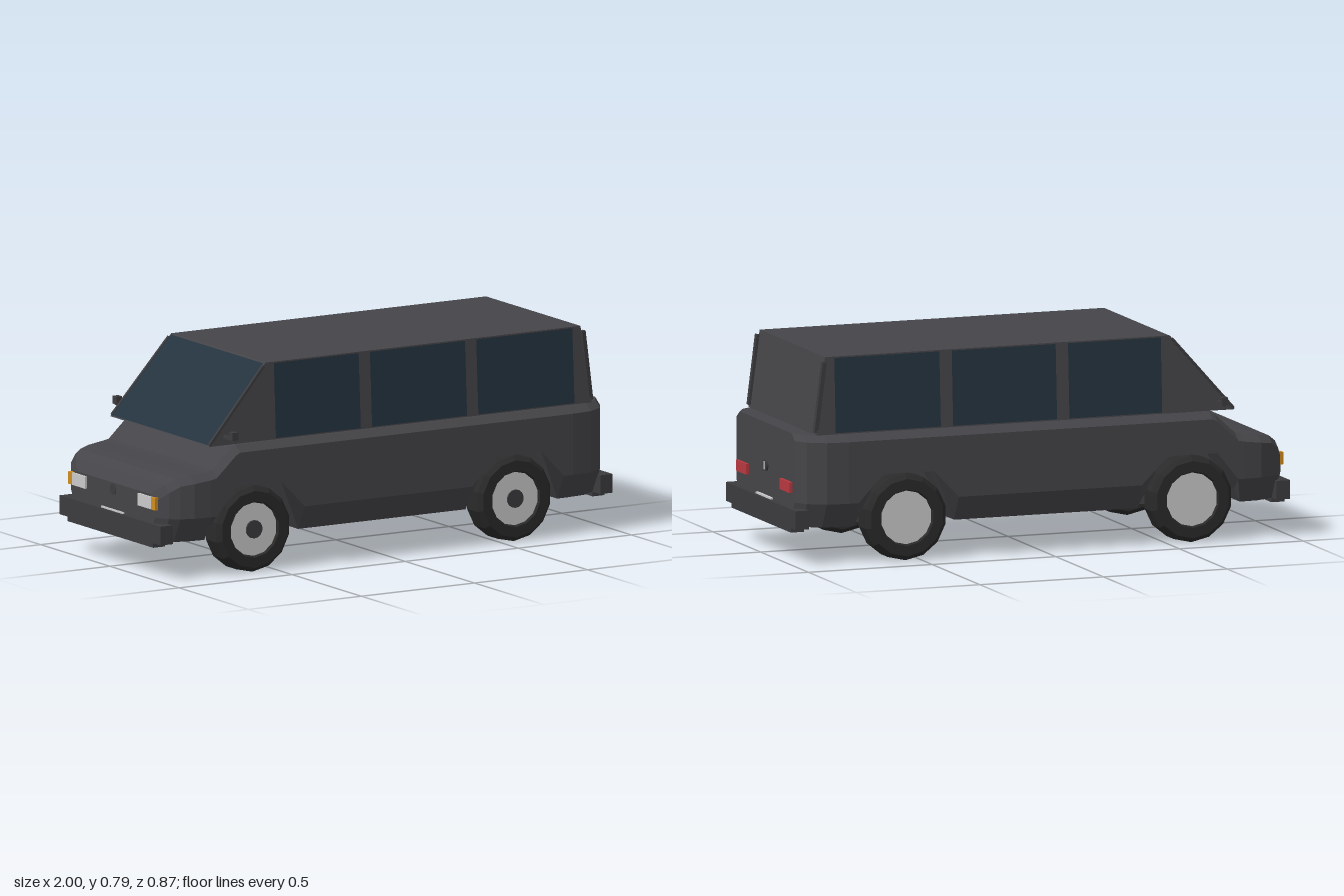
import * as THREE from 'three';
import { ConvexGeometry } from 'three/addons/geometries/ConvexGeometry.js';

const mat = (color) => new THREE.MeshStandardMaterial({ color, flatShading: true, side: THREE.DoubleSide });
const PAINT = mat(0x454448), GLASS = mat(0x25333f), TRIM = mat(0x3c3c3f), TYRE = mat(0x2a2a2b);
const RIM = mat(0xcccccc), RED = mat(0xb8383f), AMBER = mat(0xd08c20), LAMP = mat(0xdddddd);

const SILL = 0.14, BELT = 0.495, ROOF = 0.79;
const AXLES = [-0.597, 0.558];
const V = (x, y, z) => new THREE.Vector3(x, y, z);

function add(group, name, geometry, material, x = 0, y = 0, z = 0) {
  const mesh = new THREE.Mesh(geometry, material);
  mesh.name = name;
  mesh.position.set(x, y, z);
  group.add(mesh);
  return mesh;
}

// Box given by its limits on each axis
function box(group, name, material, [x0, x1], [y0, y1], [z0, z1]) {
  return add(group, name, new THREE.BoxGeometry(x1 - x0, y1 - y0, z1 - z0), material,
    (x0 + x1) / 2, (y0 + y1) / 2, (z0 + z1) / 2);
}

// Slim bar between two points
function bar(group, name, material, a, b, sx, sz) {
  const mesh = add(group, name, new THREE.BoxGeometry(sx, a.distanceTo(b), sz), material);
  mesh.position.copy(a).add(b).multiplyScalar(0.5);
  mesh.quaternion.setFromUnitVectors(V(0, 1, 0), b.clone().sub(a).normalize());
}

function quad(a, b, c, d) {
  const g = new THREE.BufferGeometry().setFromPoints([a, b, c, a, c, d]);
  g.computeVertexNormals();
  return g;
}

// Lower shell lofted along x; the outer sill rises over the wheels
function shellGeometry() {
  // x, half width, top height, wheel arch height
  const stations = [
    [-0.985, 0.30, 0.32, SILL], [-0.955, 0.355, 0.36, SILL], [-0.92, 0.38, 0.385, SILL],
    [-0.87, 0.40, 0.393, SILL], [-0.80, 0.405, 0.402, SILL], [-0.775, 0.405, 0.407, 0.19],
    [-0.69, 0.405, 0.485, 0.335], [-0.67, 0.405, BELT, 0.335],
    [-0.49, 0.405, BELT, 0.335], [-0.385, 0.405, BELT, SILL],
    [0.355, 0.405, BELT, SILL], [0.455, 0.405, BELT, 0.335], [0.66, 0.405, BELT, 0.335],
    [0.76, 0.405, BELT, SILL], [0.80, 0.405, BELT, SILL], [0.885, 0.395, BELT, SILL],
    [0.95, 0.355, BELT, SILL], [0.98, 0.305, BELT, SILL],
  ];
  const pos = [], idx = [];
  for (const [x, w, top, arch] of stations) {
    const inner = Math.min(0.27, w - 0.04);
    const half = [
      [inner, SILL], [inner, arch], [w - 0.05, arch],
      [w, Math.max(arch + 0.005, 0.235)], [w, top - 0.025], [w - 0.035, top],
    ];
    const loop = [...half, ...half.slice().reverse().map(([z, y]) => [-z, y])];
    for (const [z, y] of loop) pos.push(x, y, z);
  }
  const n = 12, last = (stations.length - 1) * n;
  for (let s = 0; s < last; s += n) {
    for (let i = 0; i < n; i++) {
      const a = s + i, b = s + (i + 1) % n;
      idx.push(a, a + n, b, b, a + n, b + n);
    }
  }
  for (let i = 1; i < n - 1; i++) idx.push(0, i, i + 1, last, last + i + 1, last + i);
  const g = new THREE.BufferGeometry();
  g.setAttribute('position', new THREE.Float32BufferAttribute(pos, 3));
  g.setIndex(idx);
  const flat = g.toNonIndexed();
  flat.computeVertexNormals();
  return flat;
}

function makeWheel(x, side) {
  const wheel = new THREE.Group();
  wheel.name = 'wheel';
  const profile = [[0.1, -0.05], [0.148, -0.055], [0.165, -0.037], [0.165, 0.037], [0.148, 0.055], [0.108, 0.055], [0.1, 0.04]]
    .map(([r, y]) => new THREE.Vector2(r, y));
  add(wheel, 'tyre', new THREE.LatheGeometry(profile, 14), TYRE).rotation.x = Math.PI / 2;
  add(wheel, 'rim', new THREE.CylinderGeometry(0.106, 0.106, 0.09, 20), RIM).rotation.x = Math.PI / 2;
  // Only the +z side carries hub caps
  if (side > 0) add(wheel, 'hub', new THREE.CylinderGeometry(0.035, 0.035, 0.01, 14), TRIM, 0, 0, 0.047).rotation.x = Math.PI / 2;
  wheel.position.set(x, 0.165, side * 0.335);
  if (side < 0) wheel.rotation.y = Math.PI;
  return wheel;
}

export function createModel() {
  const van = new THREE.Group();
  van.name = 'van';
  add(van, 'lowerBody', shellGeometry(), PAINT);

  // Cabin with raked windscreen and slightly leaning sides
  const zAt = (y) => 0.357 - 0.016 * (y - BELT) / (ROOF - BELT);
  const corners = [];
  for (const s of [1, -1]) {
    corners.push(V(-0.78, BELT, s * zAt(BELT)), V(0.912, BELT, s * zAt(BELT)),
      V(-0.52, ROOF, s * zAt(ROOF)), V(0.872, ROOF, s * zAt(ROOF)));
  }
  add(van, 'cabin', new ConvexGeometry(corners), PAINT);
  add(van, 'windscreen', quad(V(-0.779, 0.5, 0.35), V(-0.779, 0.5, -0.35),
    V(-0.526, 0.787, -0.333), V(-0.526, 0.787, 0.333)), GLASS);

  for (const s of [1, -1]) {
    // Side windows
    for (const [x0, x1] of [[-0.485, -0.11], [-0.06, 0.36], [0.41, 0.835]]) {
      const lo = s * (zAt(0.5) + 0.002), hi = s * (zAt(0.785) + 0.002);
      const p = [V(x0, 0.5, lo), V(x1, 0.5, lo), V(x1, 0.785, hi), V(x0, 0.785, hi)];
      add(van, 'sideWindow', quad(...(s > 0 ? p : p.reverse())), GLASS);
    }
    // Pillar strips at the rear and along the windscreen
    bar(van, 'rearPillar', TRIM, V(0.912, 0.505, s * 0.346), V(0.878, 0.772, s * 0.346), 0.016, 0.02);
    bar(van, 'frontPillar', TRIM, V(-0.775, 0.5, s * 0.352), V(-0.53, 0.778, s * 0.34), 0.01, 0.012);

    // Mirrors
    bar(van, 'mirrorArm', TRIM, V(-0.71, 0.527, s * 0.34), V(-0.71, 0.527, s * 0.43), 0.012, 0.012);
    add(van, 'mirrorHead', new THREE.BoxGeometry(0.025, 0.03, 0.028), TRIM, -0.71, 0.54, s * 0.42);

    // Lamps
    const span = (a, b) => (s > 0 ? [a, b] : [-b, -a]);
    box(van, 'tailLight', RED, [0.97, 0.992], [0.268, 0.309], span(0.175, 0.281));
    box(van, 'headlight', LAMP, [-0.993, -0.96], [0.265, 0.312], span(0.19, 0.285));
    box(van, 'indicator', AMBER, [-0.993, -0.955], [0.265, 0.312], span(0.285, 0.313));

    for (const x of AXLES) van.add(makeWheel(x, s));
  }

  // Bumpers, plate strips and plain round discs at both ends
  for (const e of [1, -1]) {
    const along = (a, b) => (e > 0 ? [a, b] : [-b, -a]);
    box(van, 'bumper', TRIM, along(0.945, 1), [0.14, 0.212], [-0.365, 0.365]);
    box(van, 'bumperApron', TRIM, along(0.945, 0.998), [0.122, 0.14], [-0.31, 0.31]);
    box(van, 'plateStrip', LAMP, along(0.97, 0.99), [0.212, 0.219], [-0.08, 0.08]);
    add(van, 'roundDisc', new THREE.CylinderGeometry(0.022, 0.022, 0.01, 16), TRIM, e * 0.982, e > 0 ? 0.333 : 0.295, e > 0 ? -0.008 : 0)
      .rotation.z = Math.PI / 2;
  }
  box(van, 'tailHandle', LAMP, [0.98, 0.99], [0.317, 0.349], [-0.011, -0.005]);
  return van;
}
